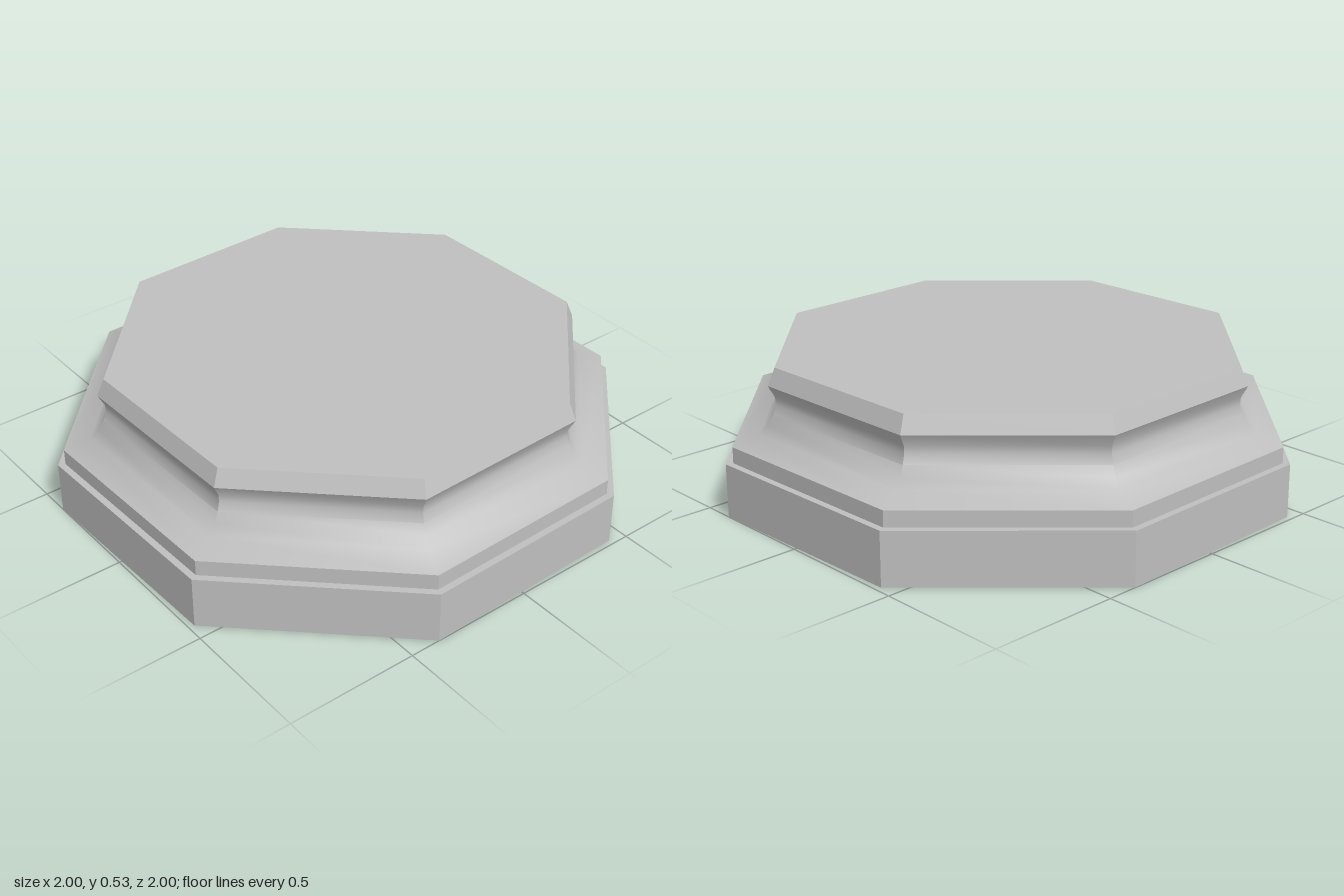
import * as THREE from 'three';
import { toCreasedNormals } from 'three/addons/utils/BufferGeometryUtils.js';

const SIDES = 8;
const TURN = THREE.MathUtils.degToRad(24);

// Eight-sided turned solid from [corner radius, height] pairs
function octagon(name, profile, material) {
  const points = profile.map(([r, y]) => new THREE.Vector2(r, y));
  const lathe = new THREE.LatheGeometry(points, SIDES, TURN);
  const mesh = new THREE.Mesh(toCreasedNormals(lathe, THREE.MathUtils.degToRad(40)), material);
  mesh.name = name;
  return mesh;
}

export function createModel() {
  const stone = new THREE.MeshStandardMaterial({ color: 0xbfbfbf });
  stone.name = 'grey stone';

  const model = new THREE.Group();
  model.name = 'octagonalPedestal';

  // Bottom slab with its narrow ledge
  model.add(octagon('plinth', [[0, 0], [1.071, 0], [1.071, 0.2], [1.044, 0.2]], stone));

  // Thin step above the slab
  model.add(octagon('step', [[1.044, 0.2], [1.044, 0.26]], stone));

  // Hollow moulding, flared rim and flat top
  model.add(octagon('coveAndTop', [
    [1.044, 0.26], [0.945, 0.292], [0.915, 0.325], [0.893, 0.36],
    [0.881, 0.395], [0.883, 0.423], [0.907, 0.468], [0.88, 0.533], [0, 0.533],
  ], stone));

  return model;
}
